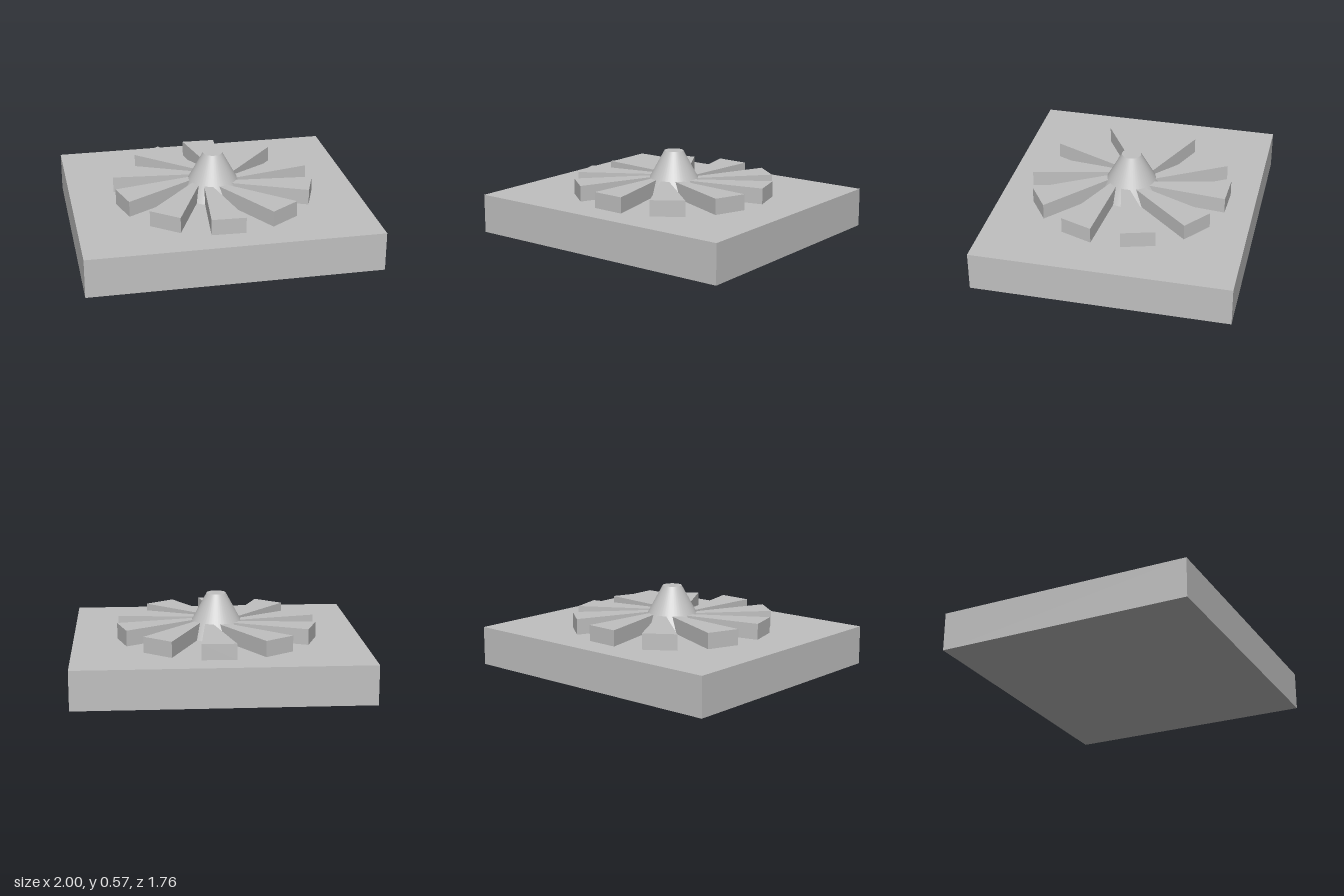
import * as THREE from 'three';

const BASE_HEIGHT = 0.27;
const BLADE_HEIGHT = 0.11;
const CONE_HEIGHT = 0.3;
const BLADE_COUNT = 10;

export function createModel() {
  const model = new THREE.Group();
  const grey = new THREE.MeshStandardMaterial({ color: 0xc0c0c0 });
  grey.name = 'grey';

  const add = (name, geometry, y) => {
    const mesh = new THREE.Mesh(geometry, grey);
    mesh.name = name;
    mesh.position.y = y;
    model.add(mesh);
    return mesh;
  };

  // Rectangular slab
  add('base', new THREE.BoxGeometry(2, BASE_HEIGHT, 1.76), BASE_HEIGHT / 2);

  // Truncated cone hub in the middle
  add('hub', new THREE.CylinderGeometry(0.067, 0.23, CONE_HEIGHT, 48), BASE_HEIGHT + CONE_HEIGHT / 2);

  // Slightly swept, tapering blades whose inner ends are buried in the hub
  const outline = new THREE.Shape([
    new THREE.Vector2(0.036, 0.13),
    new THREE.Vector2(0.085, 0.13),
    new THREE.Vector2(0.14, 0.686),
    new THREE.Vector2(-0.093, 0.694),
  ]);
  const bladeGeometry = new THREE.ExtrudeGeometry(outline, { depth: BLADE_HEIGHT, bevelEnabled: false });
  bladeGeometry.rotateX(-Math.PI / 2);
  for (let i = 0; i < BLADE_COUNT; i++) {
    const blade = add(`blade${i + 1}`, bladeGeometry, BASE_HEIGHT);
    blade.rotation.y = (-i * 2 * Math.PI) / BLADE_COUNT;
  }

  return model;
}
